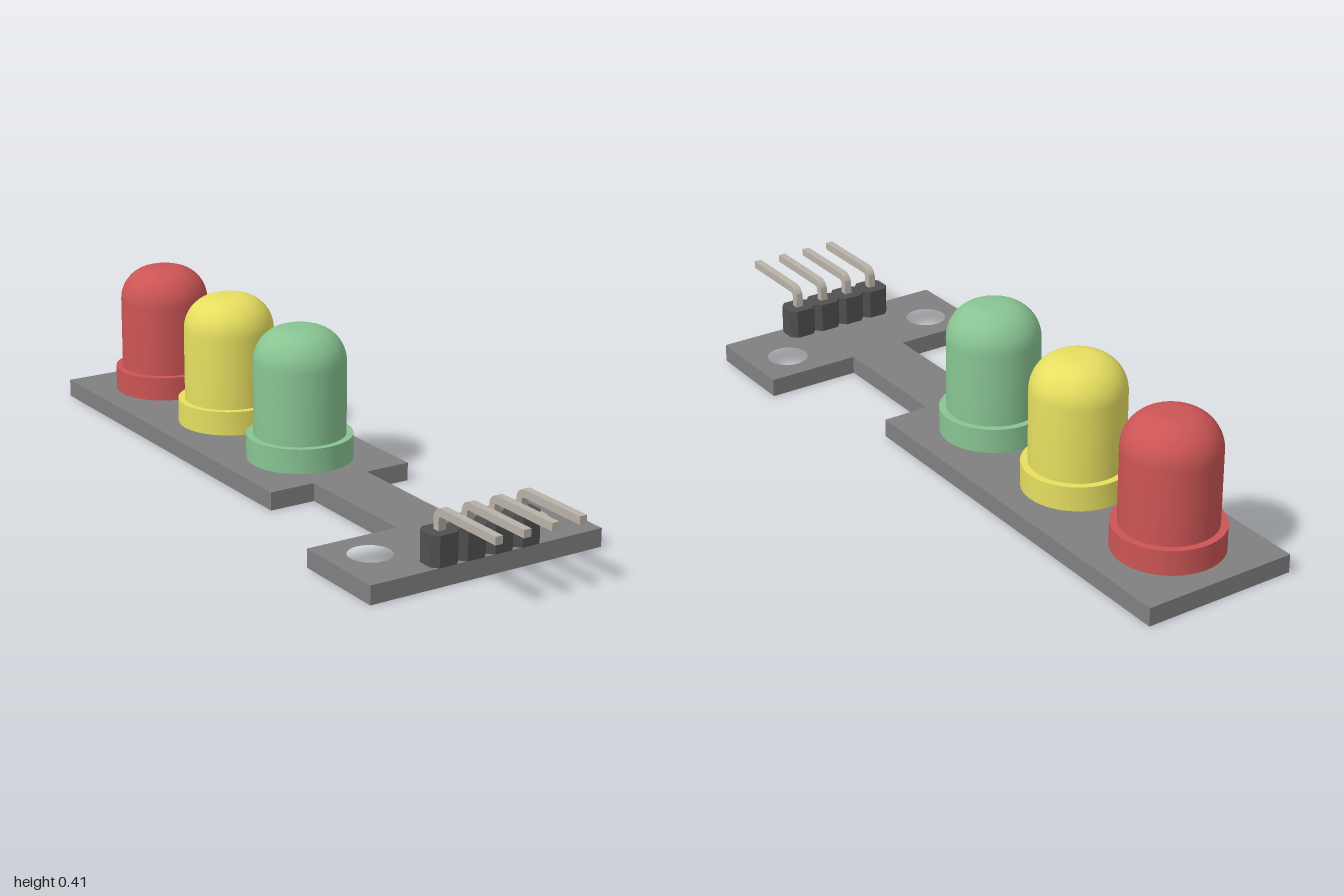
import * as THREE from 'three';
import { toCreasedNormals } from 'three/addons/utils/BufferGeometryUtils.js';

const BOARD_TOP = 0.05;
const mat = (color) => new THREE.MeshStandardMaterial({ color });

// Plate lying flat: shape drawn in (x, -z), extruded upwards
function slab(shape, y, height, curveSegments = 24) {
  const g = new THREE.ExtrudeGeometry(shape, { depth: height, bevelEnabled: false, curveSegments });
  g.rotateX(-Math.PI / 2);
  g.translate(0, y, 0);
  return toCreasedNormals(g, 0.6);
}

function add(parent, name, geometry, material) {
  const mesh = new THREE.Mesh(geometry, material);
  mesh.name = name;
  parent.add(mesh);
  return mesh;
}

// Circuit board outline: wide head, narrow neck, foot with two mounting holes
function boardGeometry() {
  const half = [[0.215, -1], [0.215, 0.15], [0.083, 0.15], [0.083, 0.53], [0.345, 0.53], [0.345, 0.805]];
  const right = half.map(([x, z]) => new THREE.Vector2(x, -z));
  const left = right.map((p) => new THREE.Vector2(-p.x, p.y)).reverse();
  const shape = new THREE.Shape([...right, ...left]);
  for (const side of [-1, 1]) {
    const hole = new THREE.Path();
    hole.absarc(side * 0.235, -0.64, 0.057, 0, Math.PI * 2, true);
    shape.holes.push(hole);
  }
  return slab(shape, 0, BOARD_TOP);
}

// Lamp: flange, straight wall, rounded shoulder and small flat top
function lampGeometry() {
  const r = 0.126, top = 0.415, fillet = 0.096;
  const pts = [[0, BOARD_TOP], [0.145, BOARD_TOP], [0.145, 0.118], [r, 0.118]]
    .map(([x, y]) => new THREE.Vector2(x, y));
  for (let i = 0; i <= 12; i++) {
    const a = (i / 12) * Math.PI / 2;
    pts.push(new THREE.Vector2(r - fillet + fillet * Math.cos(a), top - fillet + fillet * Math.sin(a)));
  }
  pts.push(new THREE.Vector2(0, top));
  return toCreasedNormals(new THREE.LatheGeometry(pts, 48), 0.6);
}

// Header housing block with chamfered corners, centred on the origin in plan
function housingGeometry() {
  const w = 0.041, d = 0.039, cx = 0.016, cz = 0.018;
  const shape = new THREE.Shape([
    [w, -d + cz], [w, d - cz], [w - cx, d], [-w + cx, d],
    [-w, d - cz], [-w, -d + cz], [-w + cx, -d], [w - cx, -d],
  ].map(([x, y]) => new THREE.Vector2(x, y)));
  return slab(shape, BOARD_TOP, 0.082);
}

// Square pin bent forward: side profile in (z, y), extruded across x
function pinGeometry() {
  const t = 0.021, back = 0.757, top = 0.191, bend = 0.03;
  const s = new THREE.Shape();
  s.moveTo(back, 0.08);
  s.lineTo(back + t, 0.08);
  s.lineTo(back + t, top - bend);
  s.absarc(back + bend, top - bend, bend - t, Math.PI, Math.PI / 2, true);
  s.lineTo(1, top - t);
  s.lineTo(1, top);
  s.lineTo(back + bend, top);
  s.absarc(back + bend, top - bend, bend, Math.PI / 2, Math.PI, false);
  s.closePath();
  const g = new THREE.ExtrudeGeometry(s, { depth: t, bevelEnabled: false, curveSegments: 6 });
  g.translate(0, 0, -t / 2);
  g.rotateY(-Math.PI / 2);
  return toCreasedNormals(g, 0.5);
}

export function createModel() {
  const model = new THREE.Group();
  model.name = 'trafficLightModule';

  add(model, 'circuitBoard', boardGeometry(), mat(0x808080));

  // Three lamps along the board
  const lamp = lampGeometry();
  const lamps = [['redLamp', 0xcc5555, -0.797], ['yellowLamp', 0xe6de60, -0.424], ['greenLamp', 0x88c492, -0.051]];
  for (const [name, color, z] of lamps) add(model, name, lamp, mat(color)).position.z = z;

  // Four-way right-angle pin header
  const header = new THREE.Group();
  header.name = 'pinHeader';
  model.add(header);
  const housing = housingGeometry(), pin = pinGeometry();
  const dark = mat(0x505050), metal = mat(0xb8b2a8);
  for (let i = 0; i < 4; i++) {
    const x = (i - 1.5) * 0.082;
    add(header, 'headerHousing', housing, dark).position.set(x, 0, 0.767);
    add(header, 'headerPin', pin, metal).position.x = x;
  }
  return model;
}
